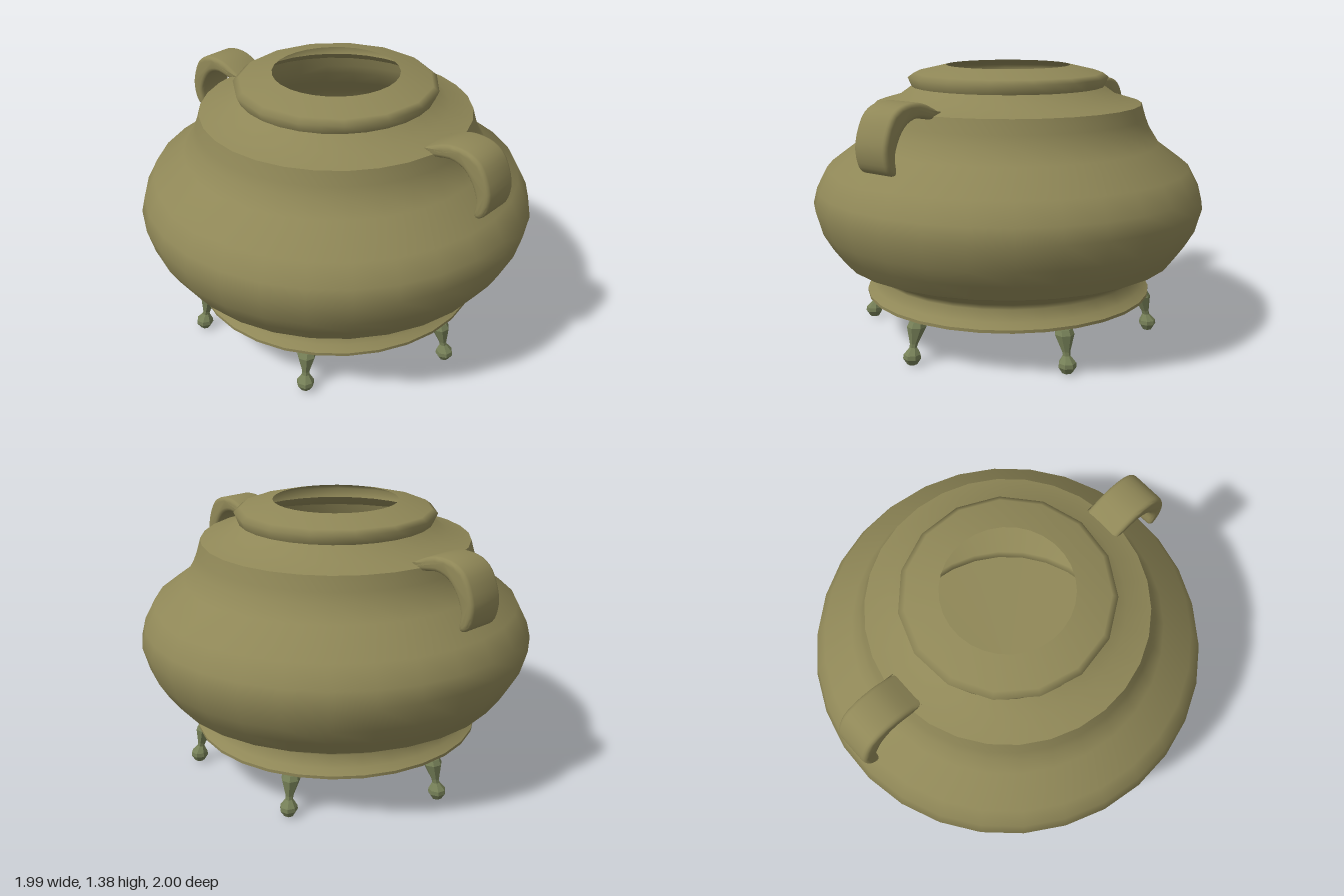
import * as THREE from 'three';
import { toCreasedNormals } from 'three/addons/utils/BufferGeometryUtils.js';

const SIDES = 30;
const TURN = THREE.MathUtils.degToRad(10); // handles and feet sit 10 degrees off the x axis
const vec = ([x, y]) => new THREE.Vector2(x, y);

export function createModel() {
  const group = new THREE.Group();
  const bronze = new THREE.MeshStandardMaterial({ color: 0x8f8757, side: THREE.DoubleSide });
  const footBronze = new THREE.MeshStandardMaterial({ color: 0x757f57, flatShading: true });

  const add = (name, geometry, material, parent = group) => {
    const mesh = new THREE.Mesh(geometry, material);
    mesh.name = name;
    parent.add(mesh);
    return mesh;
  };
  const turned = (points) => new THREE.LatheGeometry(points.map(vec), SIDES);

  // Turned sections, separate wherever the vessel has a hard edge
  add('underside', turned([[0, 0.185], [0.74, 0.22]]), bronze);
  add('baseEdge', turned([[0.74, 0.22], [0.74, 0.235]]), bronze);
  add('baseRing', turned([[0.74, 0.235], [0.705, 0.26], [0.67, 0.31], [0.69, 0.34], [0.86, 0.42]]), bronze);
  add('belly', turned([
    [0.86, 0.42], [0.92, 0.5], [0.967, 0.58], [1, 0.7], [0.98, 0.78], [0.925, 0.885],
    [0.77, 1], [0.72, 1.08], [0.7, 1.13], [0.68, 1.2],
  ]), bronze);
  add('shoulder', turned([[0.68, 1.2], [0.56, 1.235], [0.49, 1.285]]), bronze);

  // Neck: the flared lip is a coarser polygon, so every other corner is pulled in
  const neck = turned([[0.49, 1.285], [0.51, 1.33], [0.48, 1.352], [0.315, 1.39]]);
  const pos = neck.attributes.position;
  for (let i = 0; i <= SIDES; i += 2) {
    for (let j = 1; j < 3; j++) {
      const k = i * 4 + j, s = Math.cos(Math.PI / 15);
      pos.setXYZ(k, pos.getX(k) * s, pos.getY(k), pos.getZ(k) * s);
    }
  }
  add('neck', neck, bronze);

  // Hooked strap handles, rounded along both edges
  const outline = new THREE.SplineCurve([
    [0.6, 1.205], [0.7, 1.255], [0.78, 1.272], [0.87, 1.26], [0.935, 1.21], [0.978, 1.1], [0.97, 1.01],
    [0.94, 0.965], [0.905, 0.97], [0.91, 1.05], [0.88, 1.125], [0.83, 1.18], [0.76, 1.2], [0.67, 1.185], [0.6, 1.205],
  ].map(vec));
  const handleShape = new THREE.Shape(outline.getPoints(42).slice(0, -1));
  const bevel = 0.02, depth = 0.16;
  const handleGeometry = toCreasedNormals(new THREE.ExtrudeGeometry(handleShape, {
    depth, bevelThickness: bevel, bevelSize: bevel, bevelOffset: -bevel, bevelSegments: 3,
  }).translate(0, 0, -depth / 2), 0.8);
  for (const [name, angle] of [['leftHandle', 0], ['rightHandle', Math.PI]]) {
    add(name, handleGeometry, bronze).rotation.y = -(angle + TURN);
  }

  // Six splayed feet, each a tapered peg on a faceted ball
  const footGeometry = new THREE.LatheGeometry([
    [0, 0.005], [0.025, 0.01], [0.044, 0.04], [0.042, 0.06], [0.018, 0.092],
    [0.02, 0.11], [0.048, 0.19], [0.04, 0.215], [0, 0.215],
  ].map(vec), 7);
  const foot = footGeometry.attributes.position;
  for (let i = 0; i < foot.count; i++) {
    const lean = Math.max(0, foot.getY(i) - 0.06) * 0.28;
    foot.setX(i, foot.getX(i) - lean);
  }
  const feet = new THREE.Group();
  feet.name = 'feet';
  group.add(feet);
  for (let i = 0; i < 6; i++) {
    const angle = TURN + (i * Math.PI) / 3;
    const mesh = add('foot', footGeometry, footBronze, feet);
    mesh.position.set(0.742 * Math.cos(angle), 0, 0.742 * Math.sin(angle));
    mesh.rotation.y = -angle;
  }

  return group;
}
